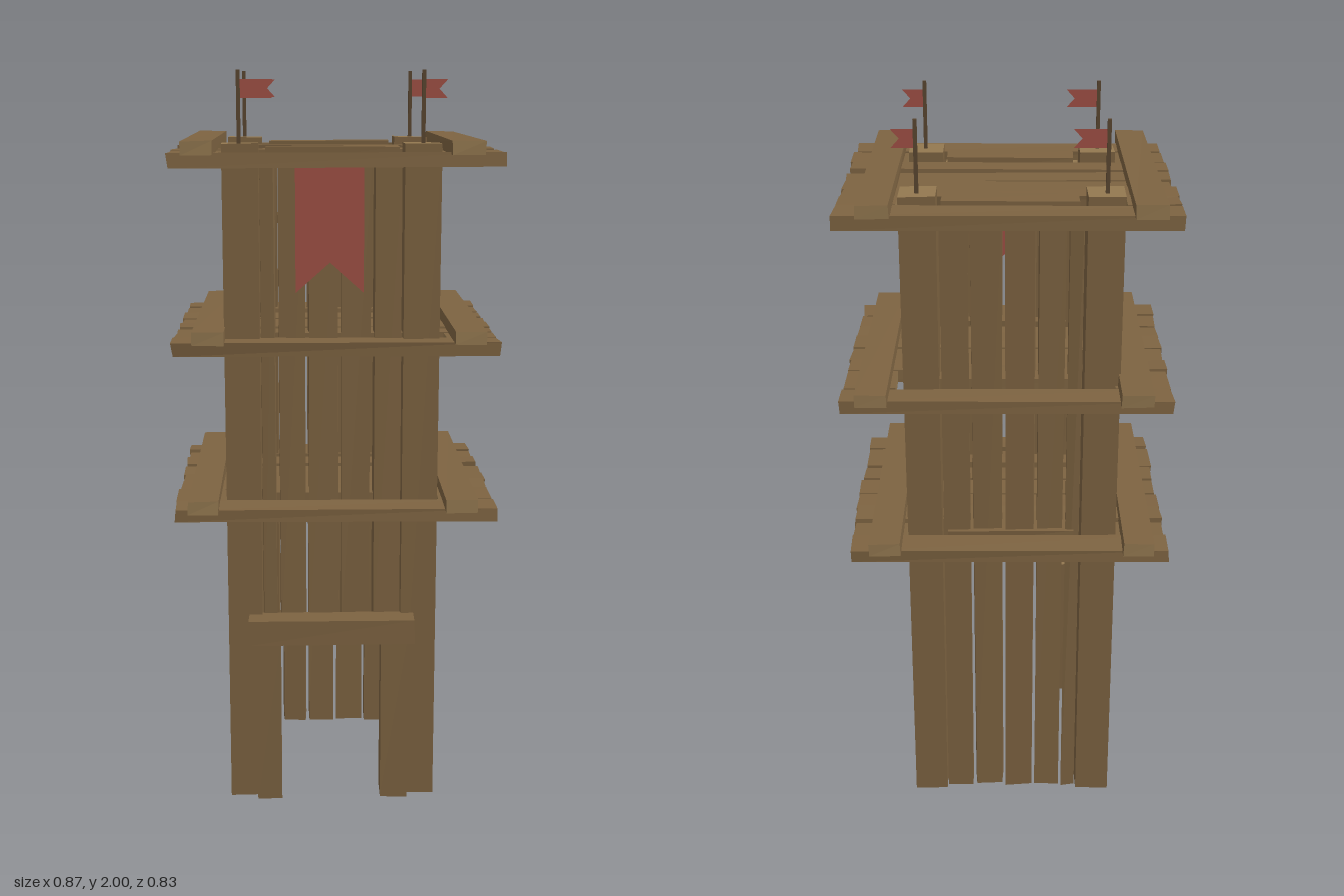
import * as THREE from 'three';

const mat = (color, extra = {}) => new THREE.MeshStandardMaterial({ color, flatShading: true, ...extra });

export function createModel() {
  const tower = new THREE.Group();
  tower.name = 'watchtower';
  const wood = mat(0x7d6341), endGrain = mat(0x937850), dark = mat(0x5a4630);
  const red = mat(0xa05045, { side: THREE.DoubleSide });

  // small seeded generator for hand-cut irregularity
  let seed = 11;
  const rand = () => (seed = (seed * 16807) % 2147483647) / 2147483647;

  // timber spanning two corners; faces across its long axis show end grain
  function timber(parent, name, [x0, x1], [y0, y1], [z0, z1], wobble = 0.004) {
    const size = [x1 - x0, y1 - y0, z1 - z0];
    const long = size.indexOf(Math.max(...size));
    const geo = new THREE.BoxGeometry(...size);
    const pos = geo.attributes.position;
    const shift = Array.from({ length: 8 }, () => [0, 1, 2].map(() => (rand() - 0.5) * wobble));
    for (let i = 0; i < pos.count; i++) {
      const [x, y, z] = [pos.getX(i), pos.getY(i), pos.getZ(i)];
      const s = shift[(x > 0 ? 1 : 0) + (y > 0 ? 2 : 0) + (z > 0 ? 4 : 0)];
      pos.setXYZ(i, x + s[0], y + s[1], z + s[2]);
    }
    const mats = Array.from({ length: 6 }, (_, i) => (i >> 1 === long ? endGrain : wood));
    const mesh = new THREE.Mesh(geo, mats);
    mesh.position.set((x0 + x1) / 2, (y0 + y1) / 2, (z0 + z1) / 2);
    mesh.name = name;
    parent.add(mesh);
  }

  function group(name) {
    const g = new THREE.Group();
    g.name = name;
    tower.add(g);
    return g;
  }

  // cloth with a swallowtail, drawn in the x-y plane
  function cloth(name, points, x, y, z) {
    const shape = new THREE.Shape(points.map(p => new THREE.Vector2(...p)));
    const mesh = new THREE.Mesh(new THREE.ShapeGeometry(shape), red);
    mesh.name = name;
    mesh.position.set(x, y, z);
    tower.add(mesh);
  }

  // corner posts, each with a flagpole and flag
  for (const [x0, x1] of [[-0.295, -0.2], [0.18, 0.275]]) {
    for (const [z0, z1] of [[-0.267, -0.167], [0.193, 0.295]]) {
      timber(tower, 'cornerPost', [x0, x1], [0, 1.815], [z0, z1], 0.003);
      const px = x0 < 0 ? -0.25 : 0.23, pz = z0 < 0 ? -0.23 : 0.245;
      const pole = new THREE.Mesh(new THREE.BoxGeometry(0.01, 0.19, 0.01), dark);
      pole.position.set(px, 1.905, pz);
      pole.name = 'flagpole';
      tower.add(pole);
      const len = x0 < 0 ? 0.088 : 0.062;
      cloth('flag', [[0, -0.024], [len, -0.024], [len - 0.022, 0], [len, 0.024], [0, 0.024]], px, 1.952, pz);
    }
  }

  // walls of upright planks
  const back = group('backWall'), front = group('frontWall'), sides = group('sideWalls');
  const acrossX = [-0.2, -0.155, -0.075, 0.01, 0.1, 0.18];
  const acrossZ = [-0.167, -0.138, -0.042, 0.042, 0.13, 0.193];
  for (let i = 0; i < 5; i++) {
    const gap = 0.003 + rand() * 0.003;
    const xs = [acrossX[i] + gap, acrossX[i + 1] - gap];
    const zs = [acrossZ[i] + gap / 2, acrossZ[i + 1] - gap / 2];
    const inset = (i % 2) * 0.006;
    timber(back, 'backPlank', xs, [0.005, 1.77], [-0.258 + inset, -0.195], 0.006);
    timber(front, 'frontPlank', xs, [0.5, 1.77], [0.225, 0.284 - inset], 0.006);
    timber(sides, 'rightPlank', [-0.288 + inset, -0.215], [0.005, 1.77], zs, 0.006);
    timber(sides, 'leftPlank', [0.2, 0.269 - inset], [0.005, 1.77], zs, 0.006);
  }

  // doorway
  const door = group('doorway');
  timber(door, 'doorJamb', [-0.218, -0.152], [0.008, 0.48], [0.24, 0.335]);
  timber(door, 'doorJamb', [0.125, 0.2], [0.008, 0.48], [0.24, 0.335]);
  timber(door, 'lintel', [-0.237, 0.216], [0.472, 0.54], [0.28, 0.356]);

  // platform decks; the middle one is turned half round
  const rows = [[-0.36, -0.275], [-0.268, -0.187], [-0.182, -0.102], [-0.1, -0.012],
    [-0.01, 0.075], [0.079, 0.16], [0.168, 0.25], [0.295, 0.378]];
  function deck(y, turned) {
    const g = group('deck');
    g.position.y = y;
    if (turned) g.rotation.y = Math.PI;
    rows.forEach(([z0, z1], i) => {
      const outer = i === 0 || i === 7;
      const drop = outer ? 0.002 : rand() * 0.01;
      const ys = [0.004 - drop / 2, 0.042 - drop];
      const l = -0.425 - rand() * 0.01, r = 0.425 + rand() * 0.01;
      if (i === 1 || i === 6) {
        // interrupted by the corner posts
        const zs = i === 6 ? [z0, 0.285] : [z0, z1];
        timber(g, 'deckPlankEnd', [l, -0.297], ys, zs);
        timber(g, 'deckPlank', [-0.18, 0.167], [0.008, 0.05], [z0, z1]);
        timber(g, 'deckPlankEnd', [0.28, r], ys, zs);
      } else timber(g, 'deckPlank', [l, r], ys, [z0, z1], 0.007);
    });
    timber(g, 'deckBeam', [-0.391, -0.31], [0.036, 0.071], [-0.385, 0.412], 0.003);
    timber(g, 'deckBeam', [0.29, 0.373], [0.036, 0.071], [-0.385, 0.412], 0.003);
  }
  deck(0.825, false);
  deck(1.27, true);
  deck(1.755, false);

  // hanging banner
  cloth('banner', [[-0.09, 0], [-0.09, -0.338], [0, -0.258], [0.09, -0.338], [0.09, 0]], -0.015, 1.768, 0.297);

  return tower;
}
